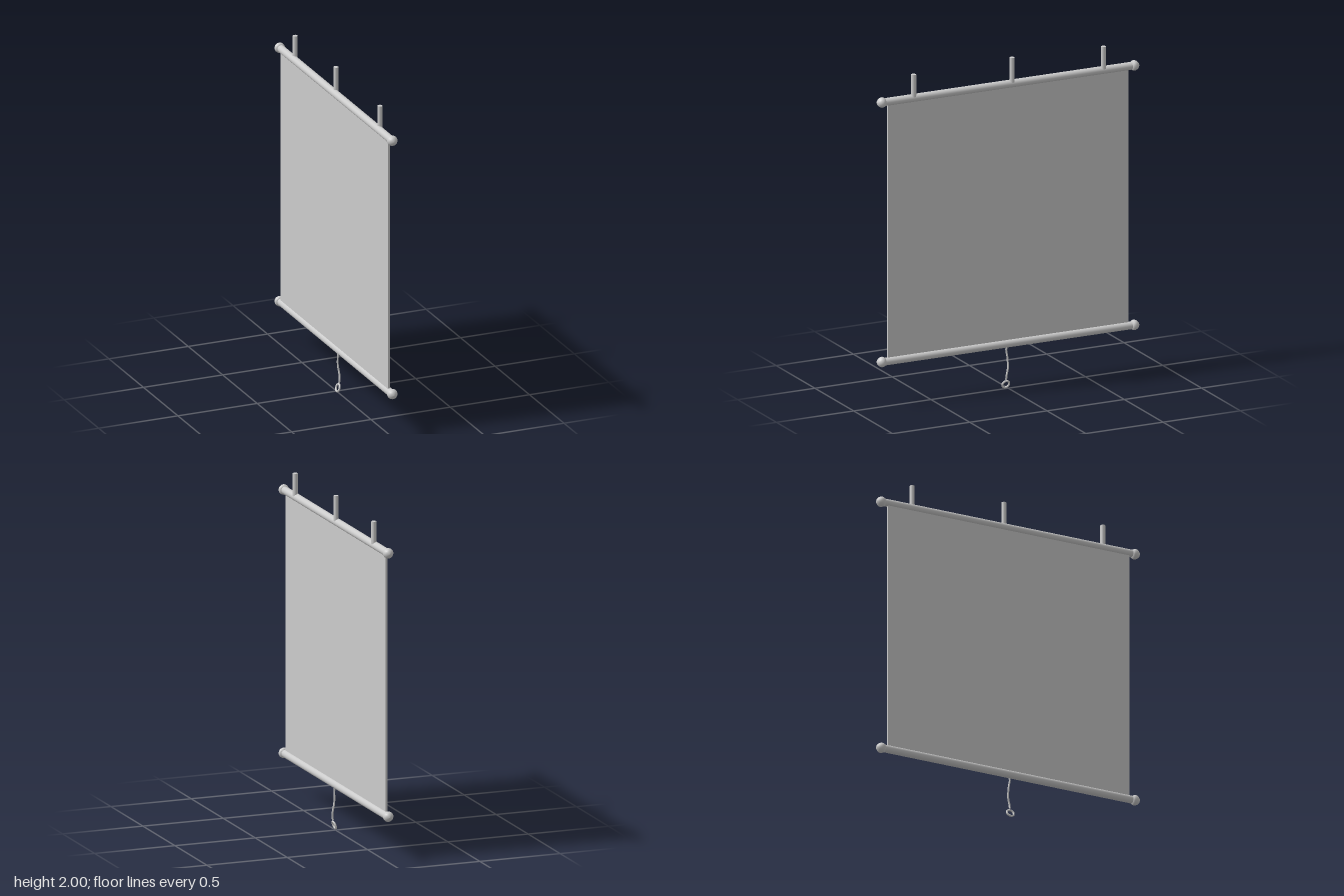
import * as THREE from 'three';

const material = new THREE.MeshStandardMaterial({ color: 0xcccccc });

export function createModel() {
  const group = new THREE.Group();
  const add = (name, geometry, x, y, z) => {
    const mesh = new THREE.Mesh(geometry, material);
    mesh.name = name;
    mesh.position.set(x, y, z);
    group.add(mesh);
    return mesh;
  };

  const topY = 1.84, bottomY = 0.27, rodX = -0.003;

  // Horizontal rods with rounded end knobs
  const rod = new THREE.CylinderGeometry(0.023, 0.023, 1.63, 20).rotateX(Math.PI / 2);
  const knobProfile = [[0, -0.025], [0.023, -0.025], [0.03, -0.014], [0.031, -0.002], [0.025, 0.011], [0.014, 0.021], [0, 0.024]]
    .map(([r, y]) => new THREE.Vector2(r, y));
  const knob = new THREE.LatheGeometry(knobProfile, 16).rotateX(Math.PI / 2);
  for (const [label, y] of [['top', topY], ['bottom', bottomY]]) {
    add(label + 'Rod', rod, rodX, y, 0);
    for (const side of [-1, 1]) {
      const end = add(label + 'Knob', knob, rodX, y, side * 0.822);
      if (side < 0) end.rotation.y = Math.PI;
    }
  }

  // Hanging sheet
  add('sheet', new THREE.BoxGeometry(0.014, topY - bottomY, 1.555), -0.007, (topY + bottomY) / 2, 0);

  // Hanger pegs above the top rod
  for (const [z, top] of [[0.615, 1.985], [-0.022, 2], [-0.613, 1.985]]) {
    const height = top - 1.85;
    add('hangerPeg', new THREE.CylinderGeometry(0.015, 0.015, height, 14), 0.006, top - height / 2, z);
  }

  // Wavy pull cord
  const cord = new THREE.CatmullRomCurve3([
    [0, 0.26, 0.008], [0.002, 0.235, 0.014], [0.004, 0.2, 0.009], [0.006, 0.16, 0.006],
    [0.012, 0.12, 0.009], [0.013, 0.085, 0.017], [0.009, 0.057, 0.018],
  ].map((p) => new THREE.Vector3(...p)));
  add('pullCord', new THREE.TubeGeometry(cord, 32, 0.006, 8), 0, 0, 0);

  // Tilted pull ring
  const ring = new THREE.TorusGeometry(0.022, 0.006, 8, 24).rotateY(Math.PI / 2).rotateZ(-0.33);
  add('pullRing', ring, 0.001, 0.0275 + 0.0055, 0.017);
  ring.computeBoundingBox();
  group.getObjectByName('pullRing').position.y = -ring.boundingBox.min.y;

  return group;
}
